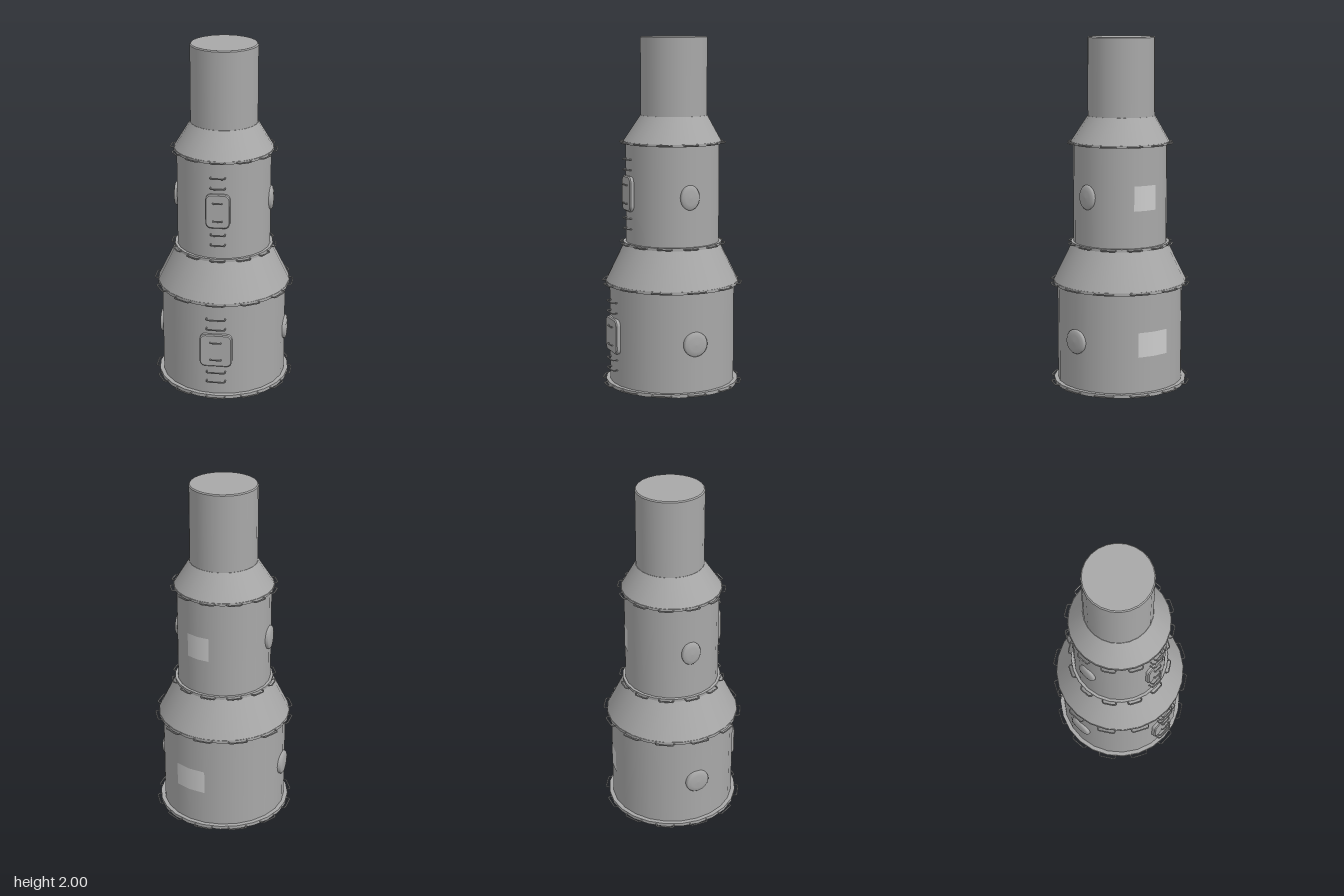
import * as THREE from 'three';

const SIDES = 24;
const metal = new THREE.MeshStandardMaterial({ color: 0xa8a8a8 });
metal.name = 'grey metal';
const pale = new THREE.MeshStandardMaterial({ color: 0xcccccc });
pale.name = 'pale panel';

function add(parent, name, geometry, material = metal) {
  const mesh = new THREE.Mesh(geometry, material);
  mesh.name = name;
  parent.add(mesh);
  return mesh;
}

// Upright round section from y0 to y1
function drum(parent, name, rBottom, rTop, y0, y1, z = 0) {
  const mesh = add(parent, name, new THREE.CylinderGeometry(rTop, rBottom, y1 - y0, SIDES));
  mesh.position.set(0, (y0 + y1) / 2, z);
  return mesh;
}

// Staple-shaped bar in the xz plane, sticking out towards +z
function staple(width, depth, radius) {
  const w = width / 2, c = Math.min(0.01, depth / 2);
  const points = [
    [-w, -0.012], [-w, depth - c], [-w + c, depth],
    [w - c, depth], [w, depth - c], [w, -0.012],
  ].map(([x, z]) => new THREE.Vector3(x, 0, z));
  const path = new THREE.CatmullRomCurve3(points, false, 'catmullrom', 0.15);
  return new THREE.TubeGeometry(path, 24, radius, 6);
}

// Thin collar with twelve grab handles around its rim
function collar(parent, radius, y0, y1, handleWidth) {
  const group = new THREE.Group();
  group.name = 'collar';
  parent.add(group);
  drum(group, 'collarRing', radius, radius, y0, y1);
  const geometry = staple(handleWidth, 0.018, 0.004);
  for (let i = 0; i < 12; i++) {
    const a = (i * Math.PI) / 6;
    const handle = add(group, 'grabHandle', geometry);
    handle.position.set(Math.sin(a) * (radius - 0.002), (y0 + y1) / 2, Math.cos(a) * (radius - 0.002));
    handle.rotation.y = a;
  }
}

// Rounded flat hatch door whose front lies at z
function hatch(parent, width, height, y, z) {
  const b = 0.006, w = width / 2 - b, h = height / 2 - b, r = 0.028;
  const s = new THREE.Shape();
  s.moveTo(-w + r, -h);
  s.lineTo(w - r, -h).absarc(w - r, -h + r, r, -Math.PI / 2, 0);
  s.lineTo(w, h - r).absarc(w - r, h - r, r, 0, Math.PI / 2);
  s.lineTo(-w + r, h).absarc(-w + r, h - r, r, Math.PI / 2, Math.PI);
  s.lineTo(-w, -h + r).absarc(-w + r, -h + r, r, Math.PI, Math.PI * 1.5);
  const geometry = new THREE.ExtrudeGeometry(s, {
    depth: 0.035, bevelSize: b, bevelThickness: b, bevelSegments: 1, curveSegments: 5,
  });
  add(parent, 'hatch', geometry).position.set(0, y, z - 0.035 - b);
}

// Hatch, rungs, portholes and rear panel of one cylindrical module
function fittings(parent, o) {
  hatch(parent, o.hatchWidth, 0.2, o.hatchY, o.radius + 0.014);

  const rung = staple(o.rungWidth, 0.023, 0.004);
  for (const y of o.rungs) add(parent, 'rung', rung).position.set(0, y, o.radius);
  const grip = staple(o.gripWidth, 0.01, 0.004);
  for (const y of o.grips) add(parent, 'hatchGrip', grip).position.set(0, y, o.radius + 0.014);

  const profile = [[0.07, -0.03], [0.07, 0.004], [0.063, 0.012], [0.04, 0.016], [0, 0.018]];
  const lens = new THREE.LatheGeometry(profile.map(([x, y]) => new THREE.Vector2(x, y)), SIDES);
  for (const side of [1, -1]) {
    const porthole = add(parent, 'porthole', lens);
    porthole.position.set(side * o.radius, o.portholeY, 0);
    porthole.rotation.z = (-side * Math.PI) / 2;
    porthole.scale.z = o.portholeWidth / 0.14;
  }

  // Curved panel covering two facets just left of the rear centre line
  const panel = new THREE.CylinderGeometry(
    o.radius + 0.002, o.radius + 0.002, 0.14, 2, 1, true, (Math.PI * 5) / 6, Math.PI / 6);
  add(parent, 'rearPanel', panel, pale).position.y = o.portholeY;
}

export function createModel() {
  const model = new THREE.Group();
  model.name = 'stationModule';

  // Lower module
  const lower = new THREE.Group();
  lower.name = 'lowerModule';
  model.add(lower);
  drum(lower, 'bottomPort', 0.16, 0.16, 0, 0.03);
  drum(lower, 'lowerBody', 0.36, 0.36, 0.02, 0.605);
  collar(lower, 0.384, 0.01, 0.03, 0.105);
  collar(lower, 0.384, 0.593, 0.61, 0.105);
  drum(lower, 'lowerCone', 0.382, 0.277, 0.61, 0.825);
  fittings(lower, {
    radius: 0.36, hatchWidth: 0.185, hatchY: 0.31, portholeY: 0.305, portholeWidth: 0.14,
    rungs: [0.505, 0.445, 0.172, 0.113], rungWidth: 0.105,
    grips: [0.362, 0.255], gripWidth: 0.06,
  });

  // Upper module
  const upper = new THREE.Group();
  upper.name = 'upperModule';
  upper.position.z = -0.003;
  model.add(upper);
  drum(upper, 'upperBody', 0.268, 0.268, 0.825, 1.405);
  collar(upper, 0.284, 0.82, 0.836, 0.08);
  collar(upper, 0.284, 1.398, 1.412, 0.08);
  fittings(upper, {
    radius: 0.268, hatchWidth: 0.138, hatchY: 1.12, portholeY: 1.115, portholeWidth: 0.112,
    rungs: [1.315, 1.255, 0.98, 0.92], rungWidth: 0.08,
    grips: [1.17, 1.065], gripWidth: 0.05,
  });

  // Upper cone, its top leaning slightly to the rear
  const cone = drum(upper, 'upperCone', 0.281, 0.192, 1.412, 1.557);
  const p = cone.geometry.attributes.position;
  for (let i = 0; i < p.count; i++) if (p.getY(i) > 0) p.setZ(i, p.getZ(i) - 0.009);

  // Top pipe with a small chamfer
  drum(model, 'topPipe', 0.19, 0.19, 1.55, 1.994, -0.012);
  drum(model, 'topPipeChamfer', 0.19, 0.184, 1.994, 2, -0.012);

  return model;
}
